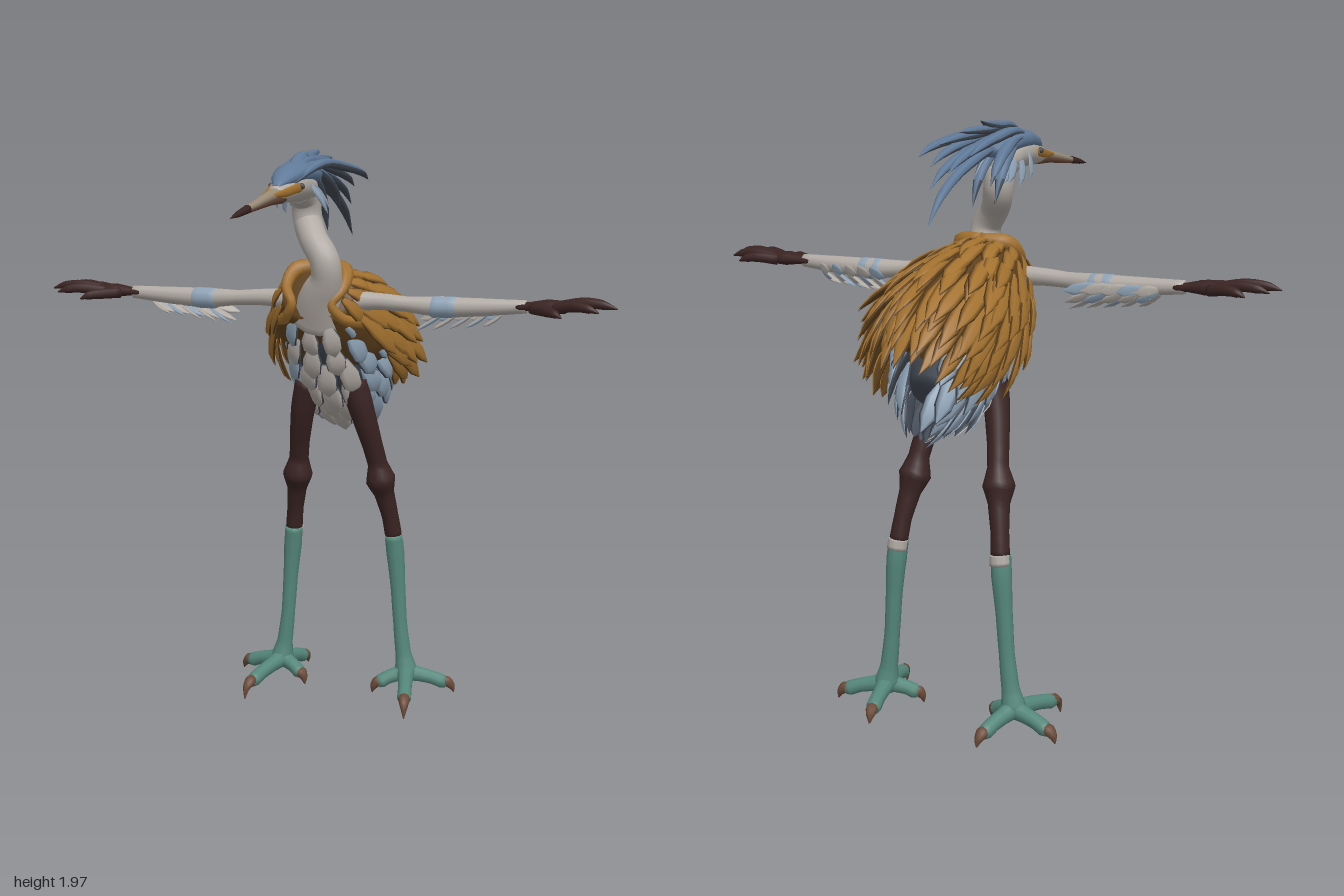
import * as THREE from 'three';
import { mergeGeometries } from 'three/addons/utils/BufferGeometryUtils.js';

const V = (x, y, z) => new THREE.Vector3(x, y, z);
const X = V(1, 0, 0), Y = V(0, 1, 0), Z = V(0, 0, 1);

// Tapered, optionally flattened limb through points [x, y, z, radius]
function limb(pts, { ref = X, flat = 1, sides = 10, steps = 4 } = {}) {
  const curve = new THREE.CatmullRomCurve3(pts.map(p => V(p[0], p[1], p[2])));
  const n = (pts.length - 1) * steps, pos = [], idx = [];
  const ring = (t, k) => {
    const c = curve.getPoint(t), tan = curve.getTangent(t);
    const a = ref.clone().addScaledVector(tan, -ref.dot(tan)).normalize();
    const b = tan.clone().cross(a);
    const f = t * (pts.length - 1), i = Math.min(Math.floor(f), pts.length - 2);
    const r = k * THREE.MathUtils.lerp(pts[i][3], pts[i + 1][3], f - i);
    for (let j = 0; j < sides; j++) {
      const q = j / sides * Math.PI * 2;
      const p = c.clone().addScaledVector(a, Math.cos(q) * r).addScaledVector(b, Math.sin(q) * r * flat);
      pos.push(p.x, p.y, p.z);
    }
  };
  ring(0, 0);
  for (let i = 0; i <= n; i++) ring(i / n, 1);
  ring(1, 0);
  for (let i = 0; i < n + 2; i++) for (let j = 0; j < sides; j++) {
    const k = (j + 1) % sides, p = i * sides, q = p + sides;
    idx.push(p + j, p + k, q + j, p + k, q + k, q + j);
  }
  const g = new THREE.BufferGeometry();
  g.setAttribute('position', new THREE.Float32BufferAttribute(pos, 3));
  g.setIndex(idx);
  g.computeVertexNormals();
  return g;
}

// Pointed flat feather
function feather(base, dir, side, len, w, out, lift = 0) {
  const at = (t, r, h) => [...base.clone().addScaledVector(dir, len * t).addScaledVector(out, h).toArray(), r * w];
  return limb([at(0, 0.4, 0), at(0.35, 0.95, lift), at(0.7, 0.85, lift), at(1, 0, 0)],
    { ref: side, flat: 0.2, sides: 6, steps: 2 });
}

// Linear lookup in a list of [s, value]
function lookup(table, s) {
  let i = 0;
  while (i < table.length - 2 && s > table[i + 1][0]) i++;
  const [a, b] = [table[i], table[i + 1]];
  return a[1] + (b[1] - a[1]) * (s - a[0]) / (b[0] - a[0]);
}

let seed = 7;
const rnd = () => (seed = (seed * 16807) % 2147483647) / 2147483647 - 0.5;

export function createModel() {
  const model = new THREE.Group();
  const colour = (name, hex) => {
    const m = new THREE.MeshStandardMaterial({ color: hex });
    m.name = name;
    return m;
  };
  const pale = colour('pale grey', 0xb2aba5), blue = colour('crest blue', 0x607a99),
    sky = colour('light blue', 0x8fa3b6), ochre = colour('ochre', 0xa2712f),
    umber = colour('dark ochre', 0x5c3f1c), maroon = colour('dark maroon', 0x3a2423),
    green = colour('green', 0x55877a), horn = colour('claw brown', 0x6c4b3a),
    tan = colour('beak tan', 0x988a76), slate = colour('dark slate', 0x434a54);
  const add = (name, mat, ...geos) => {
    const mesh = new THREE.Mesh(geos.length > 1 ? mergeGeometries(geos) : geos[0], mat);
    mesh.name = name;
    model.add(mesh);
  };

  // Rows of overlapping feathers on a tapering body; rows are [s, count, length, width]
  function plumage(A, d, L, n, radii, flat, flare, rows, spread, visit) {
    rows.forEach(([s, count, len, w], row) => {
      const r = lookup(radii, s);
      const slope = (lookup(radii, s + 0.12) - lookup(radii, s - 0.12)) / (0.24 * L);
      for (let i = 0; i < count; i++) {
        const q = spread * (2 * (i + (row % 2 ? 0.25 : 0.75)) / count - 1);
        const rad = X.clone().multiplyScalar(Math.sin(q)).addScaledVector(n, Math.cos(q) * flat);
        const out = rad.clone().normalize();
        const base = A.clone().addScaledVector(d, (s + 0.05 * rnd()) * L).addScaledVector(rad, r);
        const dir = d.clone().addScaledVector(rad, slope * 0.8 + flare + 0.1 * rnd())
          .addScaledVector(d.clone().cross(out), 0.2 * rnd()).normalize();
        const side = dir.clone().cross(out).normalize();
        const l = len * (1 + 0.2 * rnd());
        visit(q,
          feather(base, dir, side, l, w, out, 0.012),
          feather(base.clone().addScaledVector(out, -0.005), dir, side, l * 1.02, w * 1.09, out, 0.011));
      }
    });
  }
  const core = (A, d, L, radii, k, flat) => limb(radii.map(([s, r]) =>
    [...A.clone().addScaledVector(d, s * L).toArray(), r * k]), { flat, sides: 20 });

  // Cape over the back
  const capeA = V(0, 1.5, -0.06), capeD = V(0, -0.56, -0.83), capeN = V(0, 0.83, -0.56);
  const capeR = [[0, 0.13], [0.2, 0.185], [0.4, 0.22], [0.65, 0.205], [0.85, 0.155], [1, 0.09]];
  const cape = [], capeEdge = [];
  plumage(capeA, capeD, 0.57, capeN, capeR, 0.84, 0.09,
    [[-0.05, 10, 0.12, 0.024], [0.03, 11, 0.18, 0.026], [0.12, 13, 0.21, 0.027], [0.21, 14, 0.24, 0.028],
      [0.3, 15, 0.26, 0.028], [0.4, 16, 0.26, 0.028], [0.5, 16, 0.25, 0.028], [0.6, 15, 0.24, 0.027],
      [0.7, 13, 0.21, 0.025]],
    2.05, (q, f, e) => { cape.push(f); capeEdge.push(e); });
  add('capeFeathers', ochre, ...cape);
  add('capeFeatherEdges', umber, ...capeEdge, core(capeA, capeD, 0.57, [...capeR.slice(0, 4), [0.85, 0.04]], 0.93, 0.82));

  // Chest, belly and tail
  const bellyA = V(0, 1.46, -0.1), bellyD = V(0, -0.7, -0.714), bellyN = V(0, -0.714, 0.7);
  const bellyR = [[0, 0.1], [0.25, 0.13], [0.5, 0.15], [0.8, 0.135], [1, 0.08]];
  const chest = [], flank = [], bellyEdge = [];
  plumage(bellyA, bellyD, 0.48, bellyN, bellyR, 1.1, 0.16,
    [[0, 8, 0.12, 0.032], [0.15, 9, 0.13, 0.034], [0.3, 11, 0.14, 0.035], [0.45, 12, 0.15, 0.035],
      [0.6, 12, 0.16, 0.035], [0.74, 12, 0.18, 0.034], [0.87, 11, 0.18, 0.032], [0.98, 8, 0.17, 0.03]],
    2.6, (q, f, e) => { (Math.abs(q) < 0.75 ? chest : flank).push(f); bellyEdge.push(e); });
  add('chestFeathers', pale, ...chest);
  add('flankFeathers', sky, ...flank);
  add('bellyFeatherEdges', slate, ...bellyEdge, core(bellyA, bellyD, 0.48, bellyR, 0.94, 1.05));

  // Neck and head
  add('neck', pale, limb([[-0.045, 1.85, 0.02, 0.045], [-0.045, 1.81, -0.07, 0.05], [-0.04, 1.74, -0.08, 0.05],
    [0, 1.68, -0.025, 0.048], [0.045, 1.62, 0, 0.05], [0.05, 1.56, -0.01, 0.052],
    [0.02, 1.49, -0.05, 0.075], [0, 1.42, -0.1, 0.1]], { sides: 14 }));
  add('head', pale, limb([[-0.035, 1.838, 0.25, 0.024], [-0.038, 1.848, 0.16, 0.044], [-0.042, 1.858, 0.06, 0.058],
    [-0.045, 1.845, -0.04, 0.056], [-0.045, 1.81, -0.11, 0.03]], { sides: 14, flat: 0.9 }));
  add('upperBeak', tan, limb([[-0.035, 1.845, 0.2, 0.028], [-0.034, 1.835, 0.3, 0.02], [-0.032, 1.815, 0.44, 0.014],
    [-0.03, 1.803, 0.53, 0.01]], { flat: 0.8 }));
  add('lowerBeak', horn, limb([[-0.035, 1.832, 0.2, 0.027], [-0.034, 1.823, 0.3, 0.018], [-0.032, 1.808, 0.44, 0.012],
    [-0.03, 1.799, 0.53, 0.009]], { flat: 0.9 }));
  add('beakTip', maroon, limb([[-0.031, 1.807, 0.49, 0.0135], [-0.03, 1.796, 0.57, 0.0095], [-0.03, 1.787, 0.63, 0.001]]));
  const nape = [];
  for (const s of [1, -1]) {
    add('facePatch', ochre, limb([[-0.036 + s * 0.018, 1.838, 0.3, 0.006], [-0.038 + s * 0.031, 1.845, 0.21, 0.014],
      [-0.04 + s * 0.045, 1.856, 0.13, 0.016], [-0.04 + s * 0.05, 1.857, 0.09, 0.004]], { ref: Y, flat: 0.5 }));
    add('eye', slate, new THREE.SphereGeometry(0.01, 12, 8).translate(-0.04 + s * 0.052, 1.861, 0.125));
    for (let i = 0; i < 5; i++) {
      const dir = V(s * (0.28 - 0.05 * i), -0.75 + 0.04 * i, -0.5 - 0.1 * (i % 3)).normalize();
      nape.push(feather(V(-0.043 + s * (0.052 - 0.008 * i), 1.865 - 0.012 * (i % 2), 0.03 - 0.035 * i), dir,
        dir.clone().cross(V(s, 0, -0.25 * i)).normalize(), 0.11 + 0.015 * (i % 3), 0.02, V(s, 0, 0), 0.006));
    }
  }
  add('napeFeathers', sky, ...nape);

  // Crest cap and long trailing plumes
  add('crestCap', blue, limb([[-0.036, 1.864, 0.23, 0.012], [-0.038, 1.887, 0.15, 0.044], [-0.042, 1.9, 0.05, 0.061],
    [-0.045, 1.895, -0.06, 0.064], [-0.045, 1.87, -0.14, 0.035]], { flat: 0.6, sides: 12 }));
  const tips = [[-0.05, 1.97, -0.22], [-0.02, 1.905, -0.44], [0.07, 1.865, -0.4], [0.01, 1.84, -0.43],
    [-0.02, 1.775, -0.49], [-0.02, 1.665, -0.505], [-0.09, 1.87, -0.36], [-0.1, 1.77, -0.25], [0.01, 1.77, -0.27],
    [-0.06, 1.82, -0.45], [-0.09, 1.71, -0.2], [-0.01, 1.7, -0.2], [-0.04, 1.94, -0.34]];
  const plume = (e, k, dy) => {
    const y = 1.9 + (e[1] - 1.7) * 0.18 + dy, sx = (e[0] + 0.04) * 0.6, drop = y - e[1];
    return limb([[-0.04 + sx * 0.5, 1.875 + dy, 0.15, 0.008 * k], [-0.042 + sx, y, -0.02, 0.024 * k],
      [-0.042 + sx * 1.4, y - drop * 0.25, -0.02 + (e[2] + 0.02) * 0.5, 0.024 * k],
      [-0.042 + sx * 1.65, y - drop * 0.6, -0.02 + (e[2] + 0.02) * 0.82, 0.017 * k], [...e, 0.001]],
    { flat: 0.55, sides: 6 });
  };
  add('crestPlumes', blue, ...tips.map(e => plume(e, 1, 0)));
  add('crestPlumeEdges', slate, ...tips.map(e => plume(e, 1.04, -0.004)));

  for (const s of [1, -1]) {
    const P = (x, y, z, r) => [s * x, y, z, r];
    const side = s > 0 ? 'left' : 'right';

    // Collar over the shoulder and under the arm
    add(side + 'Collar', ochre, limb([P(0, 1.585, -0.13, 0.025), P(0.085, 1.575, -0.1, 0.028), P(0.1, 1.52, -0.035, 0.018),
      P(0.07, 1.47, -0.002, 0.015), P(0.1, 1.42, -0.03, 0.018), P(0.15, 1.4, -0.12, 0.022)], { ref: V(0.2, 0.3, 1), sides: 8 }));

    // Arm with forearm feathers
    add(side + 'Arm', pale, limb([P(0.06, 1.47, -0.1, 0.04), P(0.2, 1.475, -0.1, 0.029), P(0.3, 1.47, -0.1, 0.026),
      P(0.42, 1.464, -0.11, 0.036), P(0.56, 1.468, -0.11, 0.03), P(0.7, 1.475, -0.11, 0.022)], { ref: Z }));
    const arm = [[], []];
    for (let row = 0; row < 4; row++) for (let i = 0; i < 5; i++) {
      const q = row * 0.5 - 0.1, out = V(0, -Math.cos(q), -Math.sin(q));
      const dir = V(-s * 0.8, out.y * 0.5, out.z * 0.5).normalize();
      arm[(i + row) % 3 ? 0 : 1].push(feather(V(s * (0.43 + i * 0.048), 1.466, -0.11).addScaledVector(out, 0.022),
        dir, dir.clone().cross(out).normalize(), 0.125 - 0.012 * i, 0.021, out, 0.004));
    }
    add(side + 'ForearmFeathers', pale, ...arm[0]);
    add(side + 'ForearmBlueFeathers', sky, ...arm[1], limb([P(0.35, 1.464, -0.107, 0.012), P(0.39, 1.463, -0.108, 0.0365),
      P(0.46, 1.464, -0.11, 0.0365), P(0.52, 1.466, -0.11, 0.012)], { ref: Z }));

    // Hand with five fingers
    const ends = [[0.92, 1.475, -0.19], [0.98, 1.485, -0.14], [1.0, 1.487, -0.08], [0.95, 1.48, -0.015], [0.84, 1.465, 0.03]];
    const fingers = ends.map(([x, y, z], i) => {
      const bx = i === 4 ? 0.73 : 0.79, bz = -0.145 + 0.021 * i;
      return limb([P(bx, 1.475, bz, 0.018), P((bx + x) / 2, y + 0.008, bz + (z - bz) * 0.55, 0.017),
        P(bx + (x - bx) * 0.8, y + 0.004, bz + (z - bz) * 0.82, 0.014), P(x, y - 0.006, z, 0.002)], { ref: Y, sides: 8 });
    });
    add(side + 'Hand', maroon, ...fingers, limb([P(0.67, 1.474, -0.11, 0.025), P(0.71, 1.476, -0.11, 0.029),
      P(0.77, 1.478, -0.105, 0.048), P(0.83, 1.478, -0.108, 0.04)], { ref: Z, flat: 0.5 }));

    // Leg: dark thigh and knee, narrow pale cuff, green shank
    add(side + 'Thigh', maroon, limb([P(0.08, 1.18, -0.21, 0.05), P(0.108, 1.08, -0.225, 0.044), P(0.135, 0.95, -0.265, 0.036),
      P(0.147, 0.88, -0.288, 0.035), P(0.156, 0.82, -0.3, 0.054), P(0.165, 0.765, -0.317, 0.036), P(0.18, 0.68, -0.34, 0.03),
      P(0.19, 0.6, -0.355, 0.031)], { sides: 12 }));
    add(side + 'Cuff', pale, limb([P(0.188, 0.61, -0.357, 0.033), P(0.192, 0.575, -0.361, 0.034)]));
    add(side + 'Shank', green, limb([P(0.19, 0.608, -0.351, 0.033), P(0.196, 0.54, -0.358, 0.034), P(0.206, 0.42, -0.36, 0.028),
      P(0.216, 0.28, -0.36, 0.026), P(0.23, 0.16, -0.36, 0.03), P(0.24, 0.1, -0.36, 0.043), P(0.24, 0.065, -0.36, 0.028)]));

    // Foot with four clawed toes
    const toes = [[0.3, -0.125], [0.41, -0.4], [0.13, -0.3], [0.2, -0.54]];
    const along = (x, z, t, y, r) => P(0.24 + (x - 0.24) * t, y, -0.36 + (z + 0.36) * t, r);
    add(side + 'Toes', green, ...toes.map(([x, z]) => limb([along(x, z, 0, 0.095, 0.034), along(x, z, 0.3, 0.085, 0.027),
      along(x, z, 0.55, 0.075, 0.025), along(x, z, 0.75, 0.062, 0.026), along(x, z, 0.85, 0.055, 0.018)], { ref: Y })));
    add(side + 'Claws', horn, ...toes.map(([x, z], i) => limb([along(x, z, 0.74, 0.064, 0.02), along(x, z, 0.86, 0.06, 0.021),
      along(x, z, 0.95, 0.045, 0.014), along(x, z, 1, i ? 0.022 : 0.005, 0.002)], { ref: Y, sides: 8 })));
  }
  return model;
}
